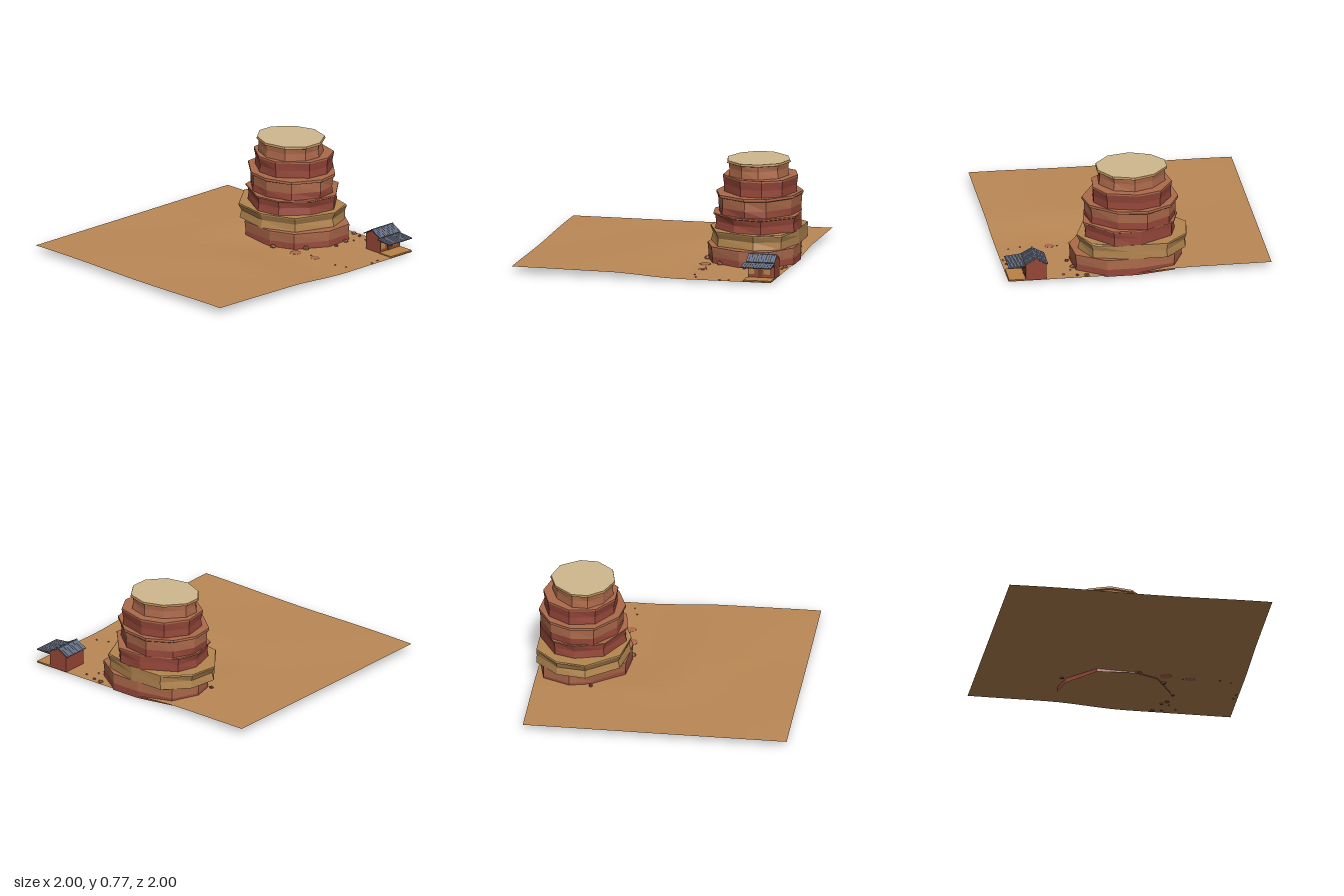
import * as THREE from 'three';

const mat = (name, color, side = THREE.FrontSide) =>
  new THREE.MeshStandardMaterial({ name, color, side, flatShading: true });

function seeded(seed) {
  let s = seed;
  return () => (s = (s * 16807) % 2147483647) / 2147483647;
}

export function createModel() {
  const M = {
    sand: mat('sand', 0xbb8855, THREE.DoubleSide),
    red: mat('redRock', 0x96473a),
    clay: mat('clayRock', 0xad6a4b),
    tan: mat('tanRock', 0xb38650),
    cap: mat('paleCap', 0xd0b88f),
    barn: mat('redBoards', 0x964636),
    roof: mat('roofMetal', 0x6a778f),
    seam: mat('roofSeam', 0x4a5466),
    wood: mat('darkWood', 0x6b4128),
    plank: mat('plank', 0xb98248),
  };
  const model = new THREE.Group();
  model.name = 'desertButte';
  const add = (parent, name, geo, material, x = 0, y = 0, z = 0) => {
    const mesh = new THREE.Mesh(geo, material);
    mesh.name = name;
    mesh.position.set(x, y, z);
    parent.add(mesh);
    return mesh;
  };
  const box = (parent, name, material, x0, x1, y0, y1, z0, z1) =>
    add(parent, name, new THREE.BoxGeometry(x1 - x0, y1 - y0, z1 - z0), material,
      (x0 + x1) / 2, (y0 + y1) / 2, (z0 + z1) / 2);

  // Ground sheet, with a shallow basin toward the back right
  const ss = THREE.MathUtils.smoothstep;
  const groundY = (x, z) => 0.04 - 0.031 * ss(x, -0.4, 0.2) * ss(-z, -0.25, 0.32)
    + 0.004 * Math.sin(4 * x + 1) * Math.cos(3 * z) * ss(z, -0.6, 0.2);
  const ground = new THREE.PlaneGeometry(2, 2, 20, 20).rotateX(-Math.PI / 2);
  const gp = ground.attributes.position;
  for (let i = 0; i < gp.count; i++) gp.setY(i, groundY(gp.getX(i), gp.getZ(i)));
  ground.computeVertexNormals();
  add(model, 'ground', ground, M.sand);

  // One rock tier: irregular polygon rings, one colour per band, cut flat at z = -1
  const butte = new THREE.Group();
  butte.name = 'butte';
  model.add(butte);
  function tier(name, seed, n, [x0, x1, z0, z1], rings, topMat) {
    const rnd = seeded(seed * 7919 + 13);
    rnd();
    const turn = rnd() * 0.5;
    const pts = Array.from({ length: n }, (_, i) => {
      const a = turn + (i + 0.35 * (rnd() - 0.5)) / n * Math.PI * 2, r = 0.95 + 0.1 * rnd();
      return [Math.cos(a) * r, Math.sin(a) * r];
    });
    const fit = (k, lo, hi) => {
      const v = pts.map(p => p[k]), a = Math.min(...v), b = Math.max(...v);
      return v.map(t => lo + (t - a) / (b - a) * (hi - lo));
    };
    const xs = fit(0, x0, x1), zs = fit(1, z0, z1);
    const cx = (x0 + x1) / 2, cz = (z0 + z1) / 2;
    const loops = rings.map(([y, s]) => xs.map((x, i) => {
      const k = s === 1 ? 1 : s + 0.03 * (rnd() - 0.5);
      return [cx + (x - cx) * k, y, Math.max(-1, cz + (zs[i] - cz) * k)];
    }));
    const faces = new Map();
    const tri = (m, ...p) => {
      if (!faces.has(m)) faces.set(m, []);
      faces.get(m).push(...p.flat());
    };
    const last = loops.length - 1;
    for (let i = 0; i < n; i++) {
      const j = (i + 1) % n;
      for (let r = 0; r < last; r++) {
        const A = loops[r], B = loops[r + 1], m = rings[r + 1][2];
        tri(m, A[i], B[i], B[j]);
        tri(m, A[i], B[j], A[j]);
      }
      tri(topMat, [cx, rings[last][0], cz], loops[last][j], loops[last][i]);
      // The lowest tier is open underneath, below the ground
      if (rings[0][0] > 0) tri(rings[1][2], [cx, rings[0][0], cz], loops[0][i], loops[0][j]);
    }
    for (const [m, data] of faces) {
      const g = new THREE.BufferGeometry();
      g.setAttribute('position', new THREE.Float32BufferAttribute(data, 3));
      g.computeVertexNormals();
      add(butte, name + '_' + m.name, g, m);
    }
  }
  tier('baseTier', 1, 10, [-0.36, 0.485, -1.05, -0.315],
    [[0, 0.99], [0.055, 0.98, M.red], [0.12, 1, M.clay], [0.132, 1, M.clay]], M.clay);
  tier('secondTier', 2, 9, [-0.41, 0.44, -1.05, -0.315],
    [[0.132, 0.98], [0.19, 0.95, M.tan], [0.235, 1, M.tan], [0.245, 0.99, M.tan]], M.tan);
  tier('thirdTier', 3, 9, [-0.325, 0.4, -1.03, -0.335],
    [[0.24, 0.96], [0.3, 0.94, M.red], [0.348, 0.97, M.red], [0.352, 1, M.red], [0.363, 1, M.clay]], M.clay);
  tier('fourthTier', 4, 10, [-0.33, 0.39, -1.01, -0.36],
    [[0.36, 0.95], [0.415, 0.94, M.red], [0.488, 0.95, M.clay], [0.495, 1, M.clay], [0.515, 1, M.clay]], M.clay);
  tier('fifthTier', 5, 9, [-0.28, 0.325, -0.975, -0.42],
    [[0.51, 0.97], [0.57, 0.96, M.red], [0.63, 1, M.red], [0.643, 1, M.clay]], M.clay);
  tier('topTier', 6, 10, [-0.25, 0.285, -0.925, -0.43],
    [[0.64, 0.94], [0.7, 0.92, M.clay], [0.738, 0.94, M.clay], [0.743, 1, M.tan], [0.76, 0.98, M.tan]], M.cap);

  // Fallen rocks: x, z, radius
  const rocks = [[0.4, -0.97, 0.02], [0.47, -0.96, 0.013], [0.45, -0.84, 0.016], [0.485, -0.8, 0.022],
    [0.51, -0.68, 0.016], [0.405, -0.465, 0.026], [0.2, -0.32, 0.024], [-0.35, -0.57, 0.018],
    [0.51, -0.86, 0.008], [0.57, -0.93, 0.01], [0.82, -0.37, 0.007],
    [0.91, -0.4, 0.007], [0.98, -0.6, 0.009], [0.97, -0.67, 0.009], [0.54, -0.39, 0.007]];
  rocks.forEach(([x, z, r], i) => {
    const rock = add(model, 'rock', new THREE.IcosahedronGeometry(r, 0), i % 3 === 1 ? M.red : M.clay,
      x, groundY(x, z) + r * 0.2, z);
    rock.rotation.set(i, i * 2, 0);
    rock.scale.y = 0.8;
  });
  // Low buried boulders, barely breaking the surface
  for (const [x, z, r] of [[0.405, -0.355, 0.045], [0.595, -0.38, 0.034]])
    add(model, 'buriedRock', new THREE.IcosahedronGeometry(r, 1), M.clay, x, groundY(x, z) + 0.001, z)
      .scale.y = 0.16;

  // Cabin: boarded body with a gable facing front and back
  const cabin = new THREE.Group();
  cabin.name = 'cabin';
  model.add(cabin);
  const gable = new THREE.Shape([[0.712, 0.012], [0.868, 0.012], [0.868, 0.135], [0.79, 0.178], [0.712, 0.135]]
    .map(p => new THREE.Vector2(...p)));
  add(cabin, 'cabinBody', new THREE.ExtrudeGeometry(gable, { depth: 0.205, bevelEnabled: false }), M.barn, 0, 0, -1);

  // Corrugated roof panel, sloping between two points, ribs running down the slope
  function roofPanel(name, x0, y0, x1, y1, zFront, battens) {
    const panel = new THREE.Group(), len = Math.hypot(x1 - x0, y1 - y0), depth = 1 + zFront;
    panel.name = name;
    panel.position.set((x0 + x1) / 2, (y0 + y1) / 2, (zFront - 1) / 2);
    panel.rotation.z = Math.atan2(y1 - y0, x1 - x0);
    box(panel, 'underside', M.wood, -len / 2, len / 2, -0.004, 0, -depth / 2, depth / 2);
    box(panel, 'sheet', M.seam, -len / 2, len / 2, 0, 0.002, -depth / 2, depth / 2);
    const n = 12, step = depth / n;
    for (let i = 0; i < n; i++) {
      const z = -depth / 2 + i * step;
      box(panel, 'rib', M.roof, -len / 2, len / 2, 0.001, 0.004, z, z + step * 0.78);
    }
    // Rusted strips showing between the ribs
    for (const i of battens) {
      const z = -depth / 2 + i * step;
      box(panel, 'rustStrip', M.wood, -len / 2, len / 2, 0.001, 0.0045, z - step * 0.3, z + step * 0.1);
    }
    cabin.add(panel);
  }
  roofPanel('leftRoof', 0.7, 0.135, 0.79, 0.183, -0.78, [3, 9]);
  roofPanel('rightRoof', 0.79, 0.183, 0.875, 0.137, -0.78, [3, 8]);
  roofPanel('porchRoof', 0.868, 0.13, 0.998, 0.117, -0.765, [4, 9]);
  box(cabin, 'ridge', M.roof, 0.785, 0.795, 0.182, 0.188, -1, -0.78);

  // Porch deck and rafters
  box(cabin, 'porchDeck', M.plank, 0.868, 0.995, 0.013, 0.022, -1, -0.785);
  for (const z of [-0.795, -0.892, -0.992])
    box(cabin, 'rafter', M.wood, 0.868, 0.99, 0.111, 0.117, z - 0.004, z + 0.004);

  // Door and windows on the porch side
  box(cabin, 'door', M.wood, 0.867, 0.872, 0.022, 0.1, -0.902, -0.872);
  for (const z of [-0.822, -0.94]) {
    box(cabin, 'windowFrame', M.wood, 0.867, 0.871, 0.042, 0.098, z - 0.028, z + 0.028);
    box(cabin, 'window', M.plank, 0.867, 0.873, 0.046, 0.094, z - 0.024, z + 0.024);
  }
  return model;
}
